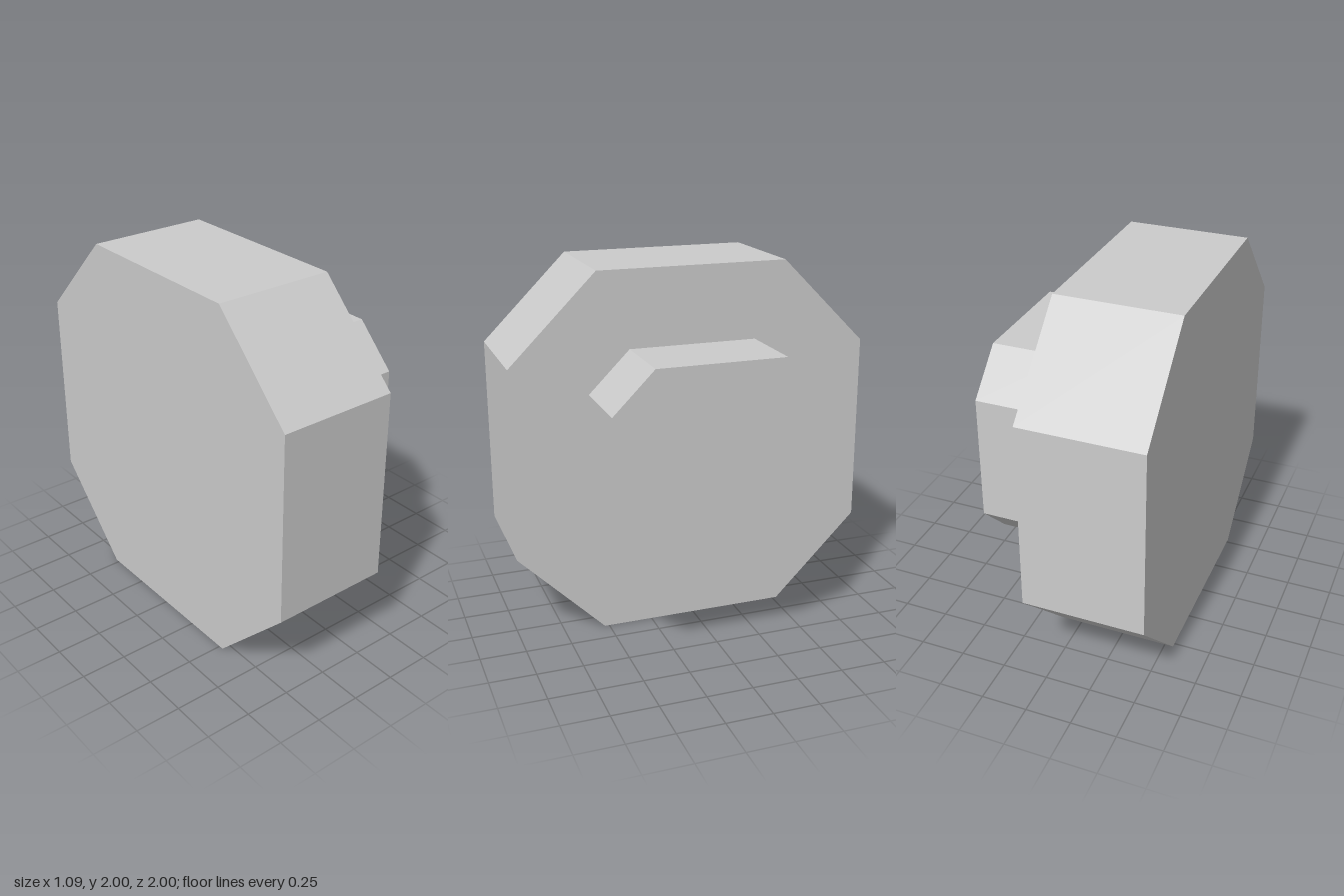
import * as THREE from 'three';

const material = new THREE.MeshStandardMaterial({ color: 0xcccccc, flatShading: true });

// Octagonal slab: half-height r, half-length of the flat sides f, spanning x0..x1
function octagonSlab(name, r, f, x0, x1) {
  const corners = [[r, -f], [r, f], [f, r], [-f, r], [-r, f], [-r, -f], [-f, -r], [f, -r]];
  const shape = new THREE.Shape(corners.map(([x, y]) => new THREE.Vector2(x, y)));
  const geometry = new THREE.ExtrudeGeometry(shape, { depth: x1 - x0, bevelEnabled: false });
  geometry.rotateY(Math.PI / 2); // extrusion runs along +x
  const mesh = new THREE.Mesh(geometry, material);
  mesh.name = name;
  mesh.position.set(x0, 1, 0);
  return mesh;
}

export function createModel() {
  const group = new THREE.Group();
  group.name = 'wheel';
  group.add(
    octagonSlab('wheelDisc', 1, 0.525, -0.547, 0.117), // wide disc
    octagonSlab('hub', 0.58, 0.354, 0.117, 0.547)      // smaller hub on the +x side
  );
  return group;
}
